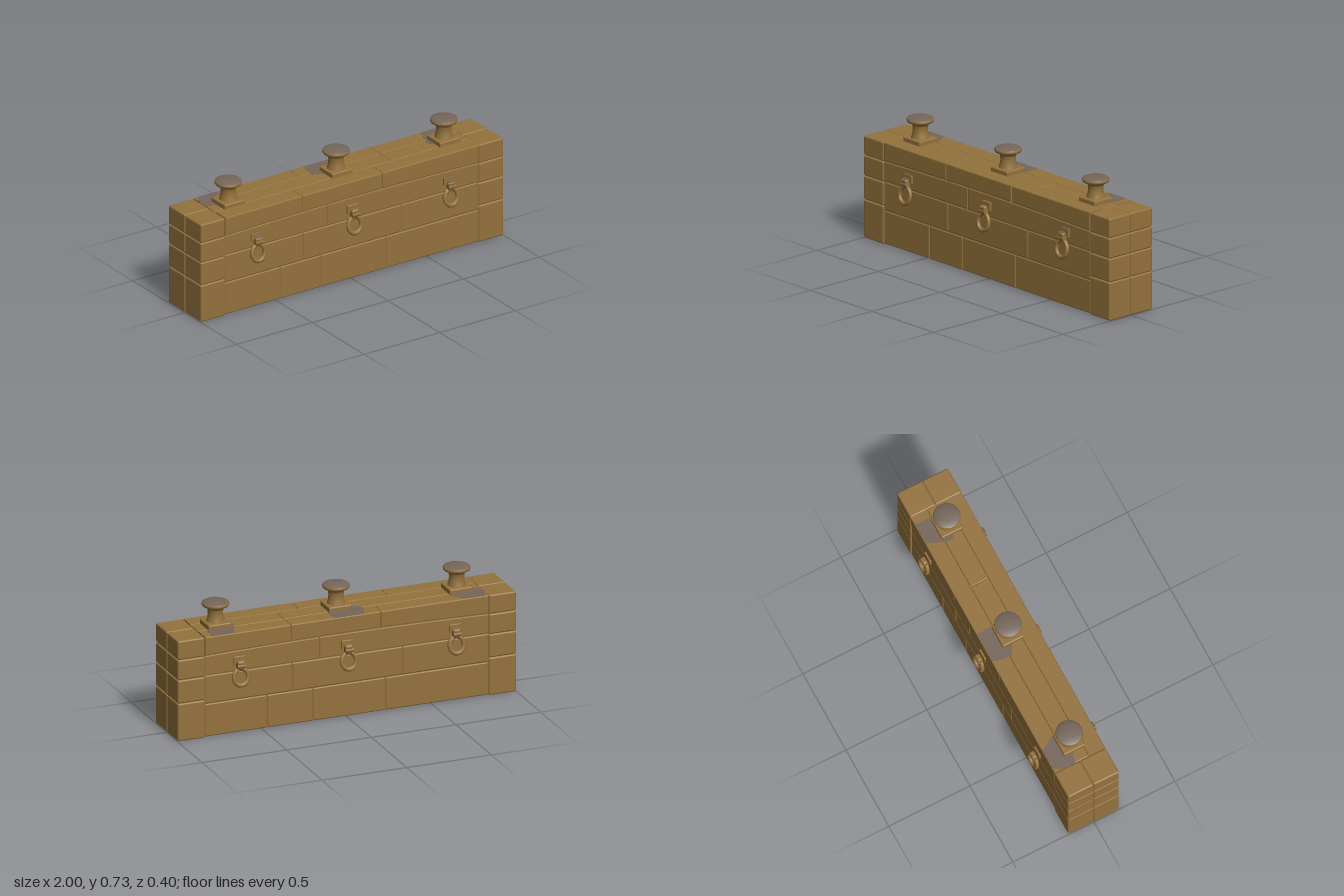
import * as THREE from 'three';
import { RoundedBoxGeometry } from 'three/addons/geometries/RoundedBoxGeometry.js';

const stone = new THREE.MeshStandardMaterial({ color: 0x94723d });
stone.name = 'brown stone';
const worn = new THREE.MeshStandardMaterial({ color: 0x75665a });
worn.name = 'worn grey';

const END = 0.838;  // where the end piers begin
const Z = 0.157;    // half depth of the wall
const TOP = 0.586;  // height of the walking surface

function add(parent, name, geometry, material = stone) {
  const mesh = new THREE.Mesh(geometry, material);
  mesh.name = name;
  parent.add(mesh);
  return mesh;
}

// Soft-edged block given by its limits, with a hairline joint around it
function block(parent, name, x0, x1, y0, y1, z0, z1, r = 0.008) {
  const g = 0.0015;
  const geo = new RoundedBoxGeometry(x1 - x0 - g, y1 - y0 - g, z1 - z0 - g, 2, r);
  geo.translate((x0 + x1) / 2, (y0 + y1) / 2, (z0 + z1) / 2);
  return add(parent, name, geo);
}

// Slight arch between the coping and the course below
const arch = x => 0.476 + 0.013 * (1 - (x / END) ** 2);

// Bevelled block whose lower and upper edges follow functions of x
function archedBlock(parent, name, x0, x1, low, high, z0, z1) {
  const b = 0.006, n = 12, pts = [];
  const at = i => x0 + 0.001 + (x1 - x0 - 0.002) * i / n;
  for (let i = 0; i <= n; i++) pts.push(new THREE.Vector2(at(i), low(at(i))));
  for (let i = n; i >= 0; i--) pts.push(new THREE.Vector2(at(i), high(at(i))));
  const geo = new THREE.ExtrudeGeometry(new THREE.Shape(pts), {
    depth: z1 - z0 - 2 * b, bevelThickness: b, bevelSize: b, bevelOffset: -b, bevelSegments: 2,
  });
  geo.translate(0, 0, z0 + b);
  return add(parent, name, geo);
}

// One long face of the wall: courses, coping edge and pier halves
function wallHalf() {
  const half = new THREE.Group();
  const course = (name, y0, y1, joints) => {
    const xs = [-END, ...joints, END];
    for (let i = 0; i < xs.length - 1; i++) block(half, name, xs[i], xs[i + 1], y0, y1, 0, Z - 0.004);
  };
  course('lowerCourse', 0.003, 0.195, [-0.47, -0.2, 0.23]);
  course('middleCourse', 0.195, 0.36, [-0.32, 0.33]);
  for (const [a, b] of [[-END, -0.16], [-0.16, END]])
    archedBlock(half, 'upperCourse', a, b, () => 0.361, x => arch(x) - 0.002, 0, Z - 0.005);
  for (const [a, b] of [[-END, -0.33], [-0.33, 0.2], [0.2, END]])
    archedBlock(half, 'copingEdge', a, b, x => arch(x) + 0.002, () => TOP, 0.055, Z);

  // End piers, in four tiers
  const tiers = [0, 0.22, 0.356, 0.474, TOP];
  for (const s of [-1, 1])
    for (let i = 0; i < 4; i++)
      block(half, 'endPier', s < 0 ? -1 : END, s < 0 ? -END : 1, tiers[i], tiers[i + 1], 0, Z + 0.001, 0.009);
  return half;
}

// Hanging mooring ring on its bracket, facing +z
function mooringRing(greyTop) {
  const g = new THREE.Group();
  g.name = 'mooringRing';
  block(g, 'bracketPlate', -0.034, 0.034, 0.398, 0.449, 0.145, 0.163, 0.004);
  const lug = block(g, 'bracketLug', -0.023, 0.023, -0.027, 0.027, -0.015, 0.015, 0.01);
  lug.position.set(0, 0.403, 0.178);
  lug.rotation.x = 0.2;
  const eye = add(g, 'bracketEye', new THREE.CylinderGeometry(0.016, 0.016, 0.044, 14));
  eye.rotation.z = Math.PI / 2;
  eye.position.set(0, 0.399, 0.18);
  const ring = add(g, 'ring', new THREE.TorusGeometry(0.042, 0.0115, 10, 28));
  ring.scale.y = 1.12;
  ring.rotation.x = -0.15;
  ring.position.set(0, 0.335, 0.181);
  if (greyTop) {
    const plate = add(g, 'wornBracketTop', new THREE.BoxGeometry(0.06, 0.003, 0.014), worn);
    plate.position.set(0, 0.449, 0.155);
    const lugTop = add(g, 'wornLugTop', new THREE.BoxGeometry(0.032, 0.003, 0.016), worn);
    lugTop.position.set(0, 0.43, 0.183);
    lugTop.rotation.x = 0.2;
  }
  return g;
}

// Bollard: square foot, waisted post and mushroom head
const postProfile = [
  [0.052, 0.605], [0.05, 0.616], [0.045, 0.632], [0.042, 0.655], [0.043, 0.678],
  [0.048, 0.69], [0.06, 0.698], [0.072, 0.702], [0.0755, 0.709], [0.0755, 0.716], [0.073, 0.721],
].map(p => new THREE.Vector2(...p));
const headProfile = [[0.073, 0.721], [0.06, 0.727], [0.035, 0.731], [0, 0.732]]
  .map(p => new THREE.Vector2(...p));

function bollard() {
  const g = new THREE.Group();
  g.name = 'bollard';
  block(g, 'bollardFoot', -0.068, 0.068, 0.578, 0.613, -0.067, 0.067, 0.007);
  add(g, 'bollardPost', new THREE.LatheGeometry(postProfile, 28));
  add(g, 'bollardHead', new THREE.LatheGeometry(headProfile, 28), worn);
  return g;
}

// Flat worn patch on the coping, outlined in x and z
function patch(parent, outline) {
  const shape = new THREE.Shape(outline.map(([x, z]) => new THREE.Vector2(x, -z)));
  const geo = new THREE.ExtrudeGeometry(shape, { depth: 0.002, bevelEnabled: false });
  geo.rotateX(-Math.PI / 2);
  geo.translate(0, TOP - 0.0005, 0);
  add(parent, 'wornPatch', geo, worn);
}

export function createModel() {
  const model = new THREE.Group();
  model.name = 'quayWall';

  // The two long faces match under a half turn
  const front = wallHalf();
  front.name = 'wallFront';
  const back = wallHalf();
  back.name = 'wallBack';
  back.rotation.y = Math.PI;
  model.add(front, back);

  // Inner core closes the joints; centre strips finish the coping
  const core = add(model, 'core', new THREE.BoxGeometry(1.984, 0.572, 0.296));
  core.position.y = 0.292;
  for (const [a, b] of [[-END, 0.33], [0.33, END]])
    block(model, 'copingCentre', a, b, 0.48, TOP, -0.055, 0.055, 0.005);

  // Mooring rings on both faces
  for (const x of [-0.637, 0, 0.637])
    for (const side of [1, -1]) {
      const ring = mooringRing(side > 0 && x !== 0);
      ring.position.x = x;
      if (side < 0) ring.rotation.y = Math.PI;
      model.add(ring);
    }

  // Bollards along the top
  for (const x of [-0.712, 0, 0.712]) {
    const b = bollard();
    b.position.x = x;
    model.add(b);
  }

  // Worn patches behind the bollards
  patch(model, [[-0.81, -0.152], [-0.69, -0.152], [-0.675, -0.12], [-0.645, -0.08], [-0.645, -0.05],
    [-0.76, 0.0], [-0.79, -0.02], [-0.835, -0.025], [-0.845, -0.07], [-0.83, -0.12]]);
  patch(model, [[-0.105, -0.152], [0.07, -0.152], [0.075, -0.06], [0.06, -0.02], [-0.06, 0.0],
    [-0.085, -0.025], [-0.125, -0.04], [-0.125, -0.09]]);
  patch(model, [[0.665, -0.152], [0.79, -0.152], [0.79, -0.07], [0.77, -0.02], [0.66, 0.01],
    [0.625, -0.005], [0.62, -0.04], [0.645, -0.1]]);

  return model;
}
